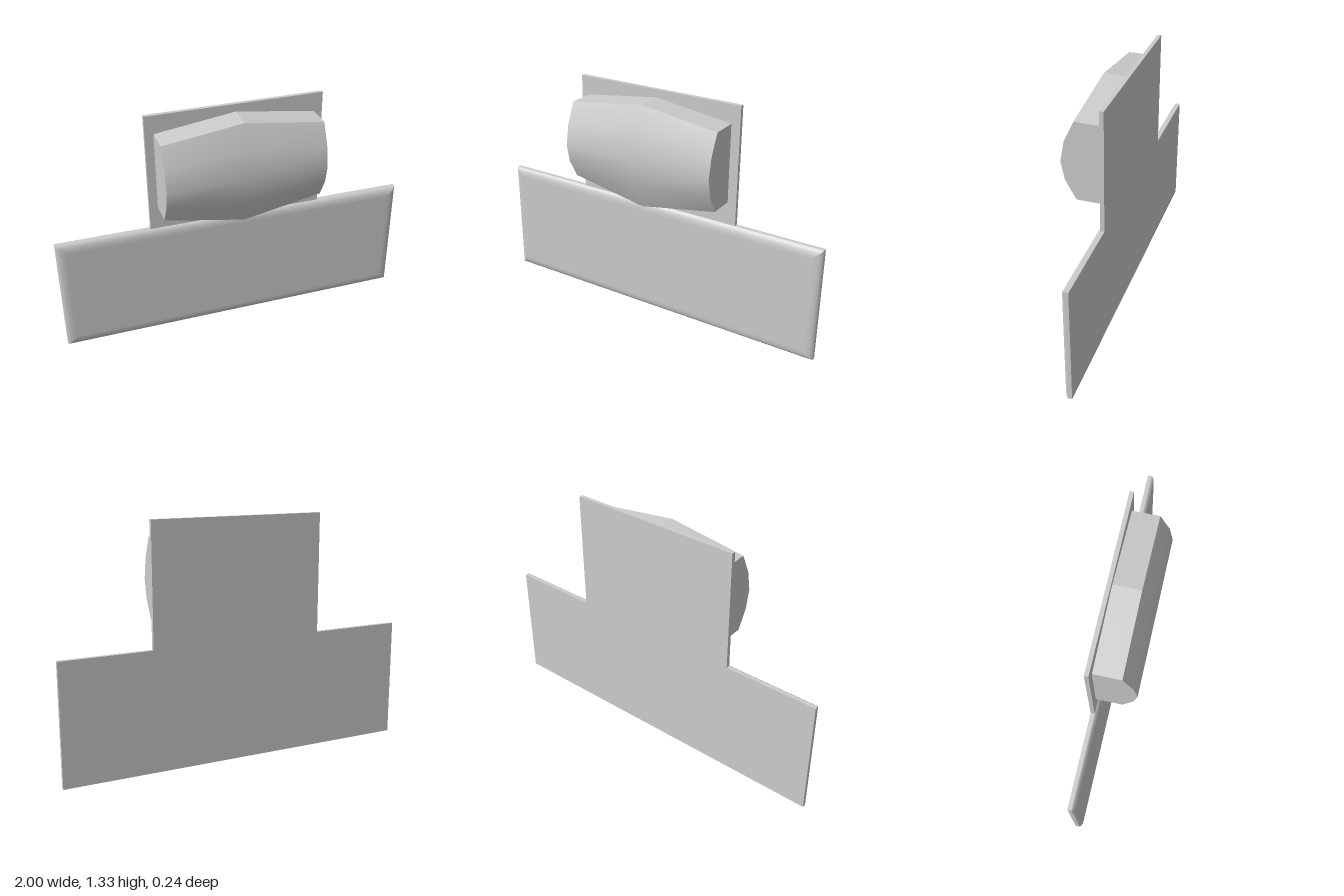
import * as THREE from 'three';

const material = new THREE.MeshStandardMaterial({ color: 0xcccccc });

// Surface through rows of points; smooth shares normals, otherwise faceted
function grid(rows, smooth) {
  const cols = rows[0].length, index = [];
  for (let i = 0; i < rows.length - 1; i++) {
    for (let j = 0; j < cols - 1; j++) {
      const a = i * cols + j, b = a + cols;
      index.push(a, b, b + 1, a, b + 1, a + 1);
    }
  }
  let geo = new THREE.BufferGeometry();
  geo.setAttribute('position', new THREE.Float32BufferAttribute(rows.flat(2), 3));
  geo.setIndex(index);
  if (!smooth) geo = geo.toNonIndexed();
  geo.computeVertexNormals();
  return geo;
}

function addMesh(parent, name, geo) {
  const mesh = new THREE.Mesh(geo, material);
  mesh.name = name;
  parent.add(mesh);
}

// Thin stepped board behind everything
function backBoard() {
  const outline = [[-1, 0], [1, 0], [1, 0.667], [0.5, 0.667], [0.5, 1.333],
    [-0.48, 1.333], [-0.48, 0.667], [-1, 0.667]];
  const shape = new THREE.Shape(outline.map(([x, y]) => new THREE.Vector2(x, y)));
  const geo = new THREE.ExtrudeGeometry(shape, { depth: 0.022, bevelEnabled: false });
  return geo.translate(0, 0, -0.122);
}

// Wide front panel with softly rounded edges, one sector per side
function frontPanel() {
  const group = new THREE.Group();
  group.name = 'frontPanel';
  const w = 1, h = 0.3335;
  const corners = [[1, -1], [-1, -1], [-1, 1], [1, 1]];
  const bevel = [[0, -0.1], [0.006, -0.091], [0.018, -0.084], [0.036, -0.08], [0.055, -0.079]];
  corners.forEach((from, k) => {
    const to = corners[(k + 1) % 4];
    const rows = bevel.map(([inset, z]) =>
      [from, to].map(([sx, sy]) => [sx * (w - inset), h + sy * (h - inset), z]));
    // Meet along the panel's centre line
    rows.push([from, to].map(([sx]) => [sx * (w - h), h, -0.079]));
    addMesh(group, 'panelSide', grid(rows, true));
  });
  return group;
}

// Bulging cushion: three cross-sections along x
function cushion() {
  const group = new THREE.Group();
  group.name = 'cushion';
  const back = -0.1;
  const end = [[0.795, 0.042], [0.9, 0.1], [1.0, 0.121], [1.115, 0.1], [1.23, 0.047]];
  const middle = [[0.715, 0.045], [0.855, 0.1], [1.0, 0.121], [1.147, 0.1], [1.29, 0.047]];
  const sections = [[-0.433, end], [0.008, middle], [0.45, end]]
    .map(([x, profile]) => profile.map(([y, z]) => [x, y, z]));
  const toBack = ([x, y]) => [x, y, back];

  addMesh(group, 'cushionFront', grid(sections, true));
  addMesh(group, 'cushionTop', grid(sections.map(s => [s[4], toBack(s[4])]), false));
  addMesh(group, 'cushionBottom', grid(sections.map(s => [toBack(s[0]), s[0]]), false));
  addMesh(group, 'cushionLeftEnd', grid(sections[2].map(p => [toBack(p), p]), false));
  addMesh(group, 'cushionRightEnd', grid(sections[0].map(p => [p, toBack(p)]), false));
  return group;
}

export function createModel() {
  const model = new THREE.Group();
  model.name = 'panelWithCushion';
  addMesh(model, 'backBoard', backBoard());
  model.add(frontPanel(), cushion());
  return model;
}
